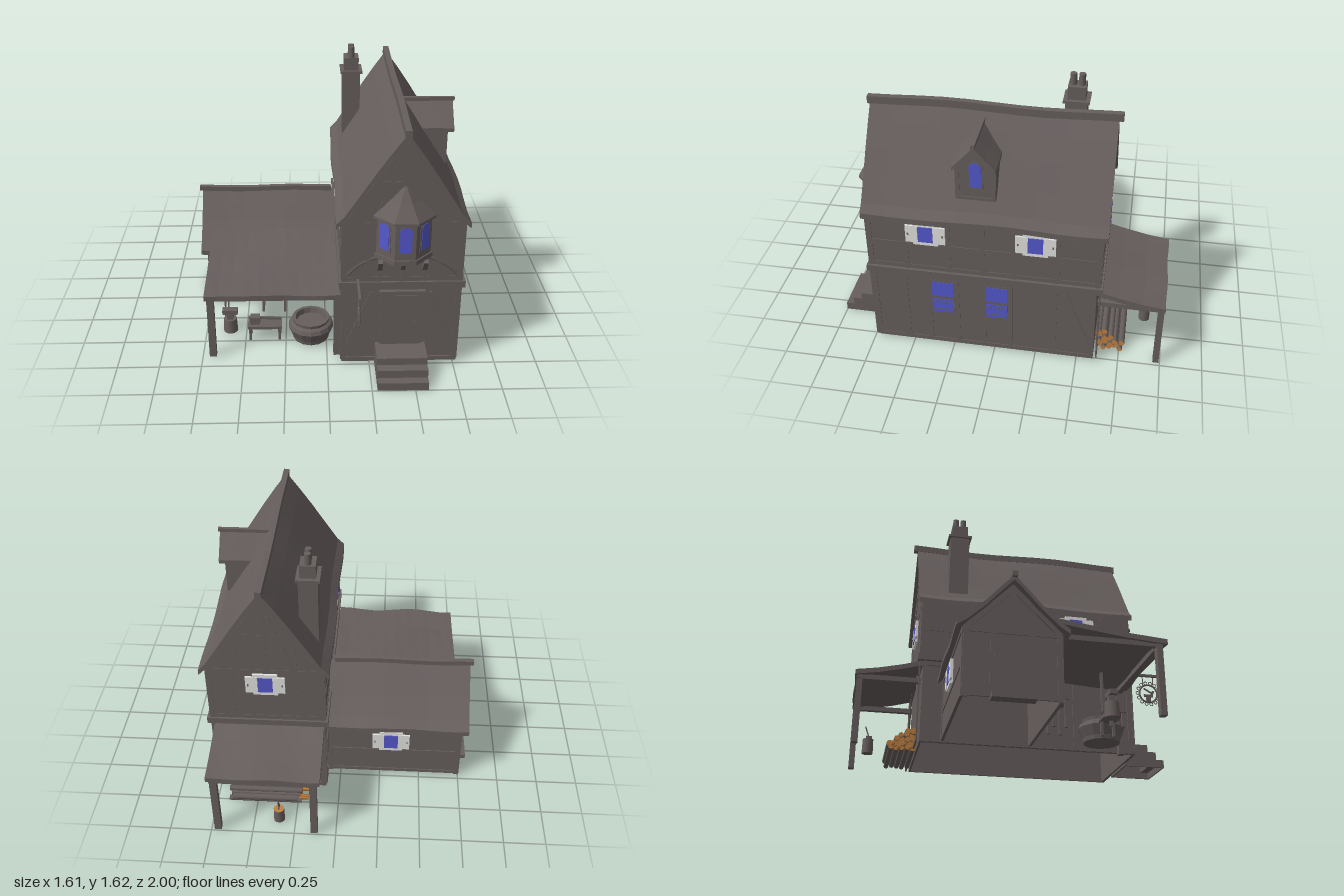
import * as THREE from 'three';

const mat = (name, color) => Object.assign(new THREE.MeshStandardMaterial({ color }), { name });

export function createModel() {
  const root = new THREE.Group();
  const grey = mat('weathered grey', 0x665e5d), glass = mat('blue glass', 0x5558cc);
  const pale = mat('pale paint', 0xe2e2e0), wood = mat('cut wood', 0xc08040);

  // ---- helpers
  const add = (parent, name, geo, m, x = 0, y = 0, z = 0, ry = 0, rz = 0) => {
    const mesh = new THREE.Mesh(geo, m);
    mesh.name = name;
    mesh.position.set(x, y, z);
    mesh.rotation.set(0, ry, rz);
    parent.add(mesh);
    return mesh;
  };
  const box = (p, name, m, w, h, d, x, y, z, rz = 0) => add(p, name, new THREE.BoxGeometry(w, h, d), m, x, y, z, 0, rz);
  const cyl = (p, name, m, r1, r2, h, x, y, z, n = 12) => add(p, name, new THREE.CylinderGeometry(r1, r2, h, n), m, x, y, z);
  const group = (name, x = 0, y = 0, z = 0, ry = 0, parent = root) => {
    const g = new THREE.Group();
    g.name = name;
    g.position.set(x, y, z);
    g.rotation.y = ry;
    parent.add(g);
    return g;
  };
  const flat = (geo) => {
    const g = geo.index ? geo.toNonIndexed() : geo;
    g.computeVertexNormals();
    return g;
  };
  const beam = (p, u1, y1, u2, y2, w = 0.028, d = 0.009, z = 0) =>
    box(p, 'timber', grey, Math.hypot(u2 - u1, y2 - y1), w, d, (u1 + u2) / 2, (y1 + y2) / 2, z, Math.atan2(y2 - y1, u2 - u1));
  // four walls without floor or ceiling
  const hollow = (name, x0, x1, z0, z1, y0, y1, t = 0.012) => {
    const rect = (C, e) => new C([[x0 + e, -z1 + e], [x1 - e, -z1 + e], [x1 - e, -z0 - e], [x0 + e, -z0 - e]].map(a => new THREE.Vector2(...a)));
    const s = rect(THREE.Shape, 0);
    s.holes.push(rect(THREE.Path, t));
    add(root, name, new THREE.ExtrudeGeometry(s, { depth: y1 - y0, bevelEnabled: false }).rotateX(-Math.PI / 2), grey, 0, y0, 0);
  };
  // house body with a pointed gable, extruded along local z
  const gable = (p, name, half, base, eave, apex, z0, z1) => {
    const s = new THREE.Shape([[-half, base], [half, base], [half, eave], [0, apex], [-half, eave]].map(a => new THREE.Vector2(...a)));
    return add(p, name, new THREE.ExtrudeGeometry(s, { depth: z1 - z0, bevelEnabled: false }), grey, 0, 0, z0);
  };
  // roof slope: profile of [distance from ridge, height], local z runs along the ridge
  const slope = (name, prof, len, x, z, ry, th = 0.035, wave = 0.007) => {
    const nv = prof.length - 1;
    const g = new THREE.BoxGeometry(nv, 1, 1, nv, 1, 10), a = g.attributes.position;
    const dir = Math.round(Math.cos(ry)) || Math.round(Math.sin(ry));
    for (let i = 0; i < a.count; i++) {
      const [d, y] = prof[Math.round(a.getX(i) + nv / 2)], t = a.getZ(i);
      const bend = 1 + wave * 2 * Math.sin(t * 11);
      a.setXYZ(i, d * bend, y + wave * Math.sin(t * dir * 9 + d * 4) - (0.5 - a.getY(i)) * th, t * len);
    }
    return add(root, name, flat(g), grey, x, 0, z, ry);
  };
  // bent ridge pole along local z
  const ridge = (name, len, w, h, x, y, z, ry, wave) => {
    const g = new THREE.BoxGeometry(w, h, len, 1, 1, 10), a = g.attributes.position;
    for (let i = 0; i < a.count; i++) a.setY(i, a.getY(i) + wave * Math.sin(a.getZ(i) / len * 9));
    add(root, name, flat(g), grey, x, y, z, ry);
  };
  const shutterWindow = (p, u, y) => {
    const g = group('shutteredWindow', u, y, 0, 0, p);
    box(g, 'windowFrame', pale, 0.145, 0.15, 0.02, 0, 0, 0.006);
    box(g, 'windowGlass', glass, 0.086, 0.104, 0.005, 0, 0, 0.018);
    for (const s of [-1, 1]) {
      box(g, 'shutter', pale, 0.07, 0.114, 0.012, s * 0.08, 0, 0.014);
      box(g, 'shutterHinge', grey, 0.008, 0.014, 0.004, s * 0.1, 0, 0.021);
    }
  };
  const archPane = (p, w, h, x, y, z) => {
    for (const [n, m, e, dz] of [['archFrame', grey, 0.011, 0], ['archGlass', glass, 0, 0.003]]) {
      const a = w / 2 + e, s = new THREE.Shape();
      s.moveTo(-a, -h / 2 - e); s.lineTo(a, -h / 2 - e); s.lineTo(a, h / 2 - 0.02);
      s.quadraticCurveTo(a * 0.8, h / 2 + e, 0, h / 2 + e);
      s.quadraticCurveTo(-a * 0.8, h / 2 + e, -a, h / 2 - 0.02);
      add(p, n, new THREE.ExtrudeGeometry(s, { depth: 0.005, bevelEnabled: false, curveSegments: 4 }), m, x, y, z + dz);
    }
  };

  // ---- main house
  hollow('lowerStorey', 0.085, 0.77, -0.6, 0.735, 0.015, 0.54);
  gable(group('upperStorey', 0.425), 'upperWalls', 0.345, 0.55, 0.94, 1.475, -0.62, 0.74);
  box(root, 'floorBand', grey, 0.725, 0.04, 1.385, 0.427, 0.553, 0.06);
  const mainProfile = [[0, 1.495], [0.08, 1.385], [0.158, 1.27], [0.25, 1.125], [0.33, 1.0], [0.375, 0.955]];
  slope('mainRoofRight', mainProfile, 1.4, 0.425, 0.055, 0);
  slope('mainRoofLeft', mainProfile, 1.4, 0.425, 0.055, Math.PI);
  ridge('mainRidge', 1.44, 0.036, 0.045, 0.425, 1.495, 0.05, 0, 0.008);

  // framed walls: local x runs along the wall, +z points out
  const side = (name, x, ry, studs, upperStuds) => {
    const g = group(name, x, 0, 0.06, ry);
    for (const y of [0.03, 0.515, 0.59, 0.75]) beam(g, -0.66, y, 0.66, y);
    for (const u of studs) beam(g, u, 0.02, u, 0.53);
    for (const u of upperStuds) beam(g, u, 0.57, u, 0.94);
    for (const s of [-1, 1]) beam(g, s * 0.64, 0.06, s * 0.48, 0.5);
    return g;
  };
  const right = side('rightWall', 0.77, Math.PI / 2, [-0.655, -0.47, -0.33, -0.16, 0, 0.16, 0.42, 0.645], [-0.66, -0.45, -0.2, 0, 0.18, 0.43, 0.66]);
  const left = side('leftWall', 0.081, -Math.PI / 2, [-0.645, 0.3, 0.655], [-0.66, -0.35, 0.08, 0.22, 0.5, 0.66]);
  shutterWindow(right, -0.325, 0.84);
  shutterWindow(right, 0.305, 0.84);
  shutterWindow(left, -0.1, 0.84);
  shutterWindow(left, 0.32, 0.84);
  for (const u of [-0.245, 0.077]) {
    box(right, 'tallWindowFrame', grey, 0.155, 0.26, 0.008, u, 0.375, 0.002);
    for (const [y, h] of [[0.437, 0.106], [0.312, 0.1]]) box(right, 'tallWindowGlass', glass, 0.13, h, 0.006, u, y, 0.005);
    for (const y of [0.285, 0.34]) box(right, 'tallWindowBar', grey, 0.13, 0.006, 0.007, u, y, 0.006);
  }
  const gableFrame = (name, z, ry) => {
    const g = group(name, 0.425, 0, z, ry);
    for (const s of [-1, 1]) {
      beam(g, s * 0.33, 0.02, s * 0.33, 0.94);
      beam(g, s * 0.33, 0.93, 0, 1.43);
      beam(g, s * 0.17, 0.94, s * 0.17, 1.17);
      beam(g, s * 0.16, 0.95, s * 0.03, 1.33, 0.024);
      beam(g, s * 0.32, 0.1, s * 0.17, 0.5, 0.024);
      beam(g, s * 0.2, 0.58, s * 0.2, 0.94, 0.024);
    }
    beam(g, 0, 0.94, 0, 1.42);
    for (const [y, w] of [[0.03, 0.34], [0.59, 0.34], [0.94, 0.34], [1.19, 0.16]]) beam(g, -w, y, w, y);
    return g;
  };
  const front = gableFrame('frontGable', 0.738, 0);
  const back = gableFrame('backGable', -0.618, Math.PI);
  shutterWindow(back, 0, 0.85);
  // curved braces beside the bay
  for (const s of [-1, 1]) {
    const c = new THREE.QuadraticBezierCurve3(new THREE.Vector3(s * 0.33, 0.59, 0), new THREE.Vector3(s * 0.27, 0.69, 0), new THREE.Vector3(s * 0.15, 0.73, 0));
    add(front, 'curvedBrace', new THREE.TubeGeometry(c, 8, 0.014, 4), grey).scale.z = 0.5;
  }

  // ---- front door and steps
  box(front, 'doorFrame', grey, 0.25, 0.38, 0.02, 0.005, 0.32, 0.002);
  box(front, 'doorLintel', grey, 0.265, 0.025, 0.03, 0.005, 0.5, 0.005);
  box(front, 'frontDoor', grey, 0.22, 0.34, 0.008, 0, 0.31, 0.011);
  add(front, 'doorRing', new THREE.TorusGeometry(0.01, 0.003, 5, 10), grey, 0.09, 0.305, 0.018);
  const steps = [[1.0, 0.05], [0.95, 0.1], [0.895, 0.145], [0.735, 0.145]];
  for (let i = 0; i < 3; i++) {
    const [z, h] = steps[i], inner = steps[i + 1][0] - 0.01;
    hollow('frontStepSides', 0.281, 0.575, 0.735, z, i * 0.05, h, 0.01);
    box(root, 'frontStepTread', grey, 0.294, 0.01, z - inner, 0.428, h - 0.005, (z + inner) / 2);
  }

  // ---- bay window, lofted from scaled plan outlines
  const bay = group('bayWindow', 0.425, 0, 0.738);
  const plan = [[-0.17, -0.01], [-0.06, 0.1], [0.06, 0.1], [0.17, -0.01]];
  const rings = [[0.01, 0.735], [1.04, 0.735], [1.04, 0.765], [0.97, 0.765], [0.97, 0.985], [1.12, 0.985], [1.12, 1.0], [0.55, 1.09], [0.01, 1.185]];
  const pos = [];
  for (let r = 0; r < rings.length - 1; r++) for (let k = 0; k < 3; k++) {
    const pt = (i, j) => [plan[j][0] * rings[i][0], rings[i][1], plan[j][1] * rings[i][0]];
    const a = pt(r, k), b = pt(r, k + 1), c = pt(r + 1, k + 1), d = pt(r + 1, k);
    pos.push(...a, ...b, ...c, ...a, ...c, ...d);
  }
  const bayGeo = new THREE.BufferGeometry().setAttribute('position', new THREE.Float32BufferAttribute(pos, 3));
  add(bay, 'bayBody', flat(bayGeo), grey);
  archPane(bay, 0.07, 0.16, 0, 0.89, 0.095);
  for (const s of [-1, 1])
    archPane(group('baySide', s * 0.1115, 0.89, 0.0437, s * Math.PI / 4, bay), 0.066, 0.16, 0, 0, -0.002);
  for (const x of [-0.13, 0, 0.125]) {
    box(bay, 'bayBracketPost', grey, 0.02, 0.15, 0.02, x, 0.655, 0.008);
    add(bay, 'bayBracket', new THREE.BoxGeometry(0.026, 0.09, 0.025), grey, x, 0.695, 0.03).rotation.x = 0.6;
  }

  // ---- dormer on the right slope
  const dormer = group('dormer', 0, 0, 0.1, Math.PI / 2);
  gable(dormer, 'dormerWalls', 0.115, 1.07, 1.28, 1.41, 0.45, 0.72);
  archPane(dormer, 0.066, 0.155, 0, 1.233, 0.718);
  for (const s of [-1, 1]) {
    beam(dormer, s * 0.1, 1.07, s * 0.1, 1.29, 0.02, 0.01, 0.72);
    slope('dormerRoof', [[0, 1.435], [0.065, 1.36], [0.122, 1.298]], 0.31, 0.605, 0.1, -s * Math.PI / 2, 0.022, 0.002);
  }
  beam(dormer, -0.11, 1.08, 0.11, 1.08, 0.02, 0.01, 0.72);
  box(root, 'dormerRidge', grey, 0.32, 0.022, 0.022, 0.61, 1.44, 0.1);

  // ---- chimney
  const chimney = group('chimney', 0.18, 0, -0.39);
  box(chimney, 'chimneyStack', grey, 0.112, 0.5, 0.125, 0, 1.21, 0);
  box(chimney, 'chimneyLedge', grey, 0.138, 0.016, 0.152, 0, 1.462, 0);
  box(chimney, 'chimneyTop', grey, 0.092, 0.08, 0.105, 0, 1.51, 0);
  for (const z of [-0.025, 0.025]) cyl(chimney, 'chimneyPot', grey, 0.019, 0.021, 0.07, 0, 1.583, z);

  // ---- side wing
  hollow('wingWalls', -0.75, 0.09, -0.47, 0.07, 0.02, 0.39);
  gable(group('wing', 0, 0, -0.2, -Math.PI / 2), 'wingGable', 0.27, 0.38, 0.41, 0.68, -0.1, 0.75);
  const wingProfile = [[0, 0.715], [0.08, 0.63], [0.15, 0.552], [0.25, 0.46], [0.31, 0.42]];
  for (const s of [-1, 1]) slope('wingRoof', wingProfile, 0.87, -0.355, -0.2, s * Math.PI / 2, 0.03, 0.005);
  ridge('wingRidge', 0.86, 0.03, 0.03, -0.38, 0.715, -0.2, Math.PI / 2, 0.004);
  const wingEnd = group('wingEnd', -0.751, 0, -0.2, -Math.PI / 2);
  for (const s of [-1, 1]) {
    beam(wingEnd, s * 0.255, 0.01, s * 0.255, 0.41);
    beam(wingEnd, s * 0.255, 0.4, 0, 0.65);
    beam(wingEnd, s * 0.11, 0.02, s * 0.11, 0.4);
  }
  for (const y of [0.03, 0.39]) beam(wingEnd, -0.265, y, 0.265, y);
  beam(wingEnd, 0, 0.4, 0, 0.65);
  box(wingEnd, 'wingDoor', grey, 0.2, 0.34, 0.008, 0, 0.2, 0.002);
  box(root, 'wingStep', grey, 0.07, 0.03, 0.24, -0.77, 0.015, -0.2);
  const wingBack = group('wingBack', -0.335, 0, -0.471, Math.PI);
  const wingFront = group('wingFront', -0.335, 0, 0.071);
  for (const g of [wingBack, wingFront]) {
    for (const y of [0.03, 0.2, 0.395]) beam(g, -0.41, y, 0.41, y, 0.022);
    for (const u of [-0.4, 0.4]) beam(g, u, 0.01, u, 0.4);
  }
  shutterWindow(wingBack, -0.02, 0.29);

  // ---- porches: forge at the front, wood store at the back
  slope('forgeRoof', [[0, 0.515], [0.23, 0.488], [0.46, 0.465], [0.69, 0.45]], 0.79, -0.325, 0.0, -Math.PI / 2, 0.03, 0.006);
  slope('woodStoreRoof', [[0, 0.53], [0.13, 0.495], [0.27, 0.465], [0.4, 0.447]], 0.66, 0.42, -0.6, Math.PI / 2, 0.03, 0.004);
  box(root, 'forgeBeam', grey, 0.75, 0.03, 0.035, -0.32, 0.41, 0.64);
  box(root, 'woodStoreBeam', grey, 0.63, 0.03, 0.03, 0.42, 0.412, -0.975);
  for (const [x, z, h] of [[-0.688, 0.64, 0.43], [0.06, 0.64, 0.43], [0.13, -0.975, 0.42], [0.71, -0.975, 0.42]])
    box(root, 'porchPost', grey, 0.042, h, 0.036, x, h / 2, z);
  box(root, 'forgeSideBeam', grey, 0.03, 0.03, 0.57, -0.688, 0.415, 0.36);
  for (const x of [0.13, 0.71]) box(root, 'woodStoreSideBeam', grey, 0.03, 0.03, 0.37, x, 0.412, -0.79);

  // ---- log pile, loose split wood, chopping block and axe
  [5, 5, 4, 3, 2].forEach((n, row) => {
    for (let i = 0; i < n; i++) {
      const r = 0.016 + 0.004 * ((i * 3 + row * 2) % 3) / 2;
      const log = cyl(root, 'log', [grey, wood, wood], r, r, 0.4 + 0.025 * ((i * 2 + row) % 3), 0.45, 0.018 + row * 0.027, -0.622 - i * 0.033 - (row % 2) * 0.008, 8);
      log.rotation.z = Math.PI / 2;
    }
  });
  for (let i = 0; i < 4; i++)
    cyl(root, 'splitWood', wood, 0.013, 0.013, 0.06, 0.215, 0.013 + (i % 2) * 0.02, -0.64 - i * 0.035, 3).rotation.z = Math.PI / 2;
  cyl(root, 'choppingBlock', [grey, wood, grey], 0.032, 0.034, 0.09, 0.35, 0.045, -0.89);
  const axe = group('axe', 0.35, 0.09, -0.885, Math.PI / 2);
  beam(axe, 0, 0.01, 0.025, 0.08, 0.007, 0.007);
  box(axe, 'axeHead', grey, 0.035, 0.02, 0.008, 0, 0.012, 0);

  // ---- forge furnishings
  const basin = [[0, 0.015], [0.11, 0.015], [0.115, 0.04], [0.14, 0.1], [0.13, 0.125], [0.112, 0.135], [0.115, 0.155], [0.095, 0.155], [0.09, 0.12], [0, 0.12]];
  add(root, 'forgeBasin', flat(new THREE.LatheGeometry(basin.map(p => new THREE.Vector2(...p)), 14)), grey, -0.095, 0, 0.47);
  const table = (name, x, z, w, h, d) => {
    const g = group(name, x, 0, z);
    box(g, 'tableTop', grey, w, 0.018, d, 0, h - 0.009, 0);
    for (const sx of [-1, 1]) for (const sz of [-1, 1])
      box(g, 'tableLeg', grey, 0.016, h, 0.016, sx * (w / 2 - 0.015), h / 2 - 0.002, sz * (d / 2 - 0.015));
    return g;
  };
  const bench = table('workbench', -0.38, 0.45, 0.21, 0.1, 0.1);
  box(bench, 'vice', grey, 0.06, 0.05, 0.05, -0.06, 0.125, 0);
  beam(bench, -0.1, 0.14, 0.1, 0.13, 0.014, 0.014);
  const toolTable = table('toolTable', -0.33, 0.14, 0.17, 0.18, 0.1);
  for (const x of [-0.19, -0.14, -0.09, -0.04, 0, 0.04, 0.08]) {
    box(toolTable, 'toolHandle', grey, 0.006, 0.05, 0.006, x, 0.213, -0.055);
    box(toolTable, 'toolHead', grey, 0.022, 0.01, 0.012, x, 0.24, -0.055);
  }
  // anvil on its block, with a stand for tongs behind
  const anvil = group('anvil', -0.6, 0, 0.38);
  cyl(anvil, 'anvilBlock', grey, 0.04, 0.045, 0.09, 0, 0.045, 0);
  box(anvil, 'anvilFoot', grey, 0.04, 0.04, 0.04, 0, 0.11, 0);
  box(anvil, 'anvilFace', grey, 0.095, 0.028, 0.045, 0, 0.14, 0);
  for (const x of [-0.035, -0.015]) beam(anvil, x, 0.02, x + 0.004, 0.25, 0.01, 0.01, -0.06);

  // ---- hanging sign with hammer
  const sign = group('hangingSign', 0.172, 0.46, 0.885, Math.PI / 2);
  add(sign, 'signRing', new THREE.TorusGeometry(0.06, 0.006, 6, 24), grey);
  for (let i = 0; i < 14; i++) {
    const a = i / 14 * Math.PI * 2;
    add(sign, 'signLoop', new THREE.TorusGeometry(0.011, 0.003, 4, 8), grey, 0.073 * Math.cos(a), 0.073 * Math.sin(a));
  }
  box(sign, 'signAnvil', grey, 0.06, 0.016, 0.01, 0, -0.015, 0);
  box(sign, 'signAnvilFoot', grey, 0.03, 0.03, 0.01, 0, -0.036, 0);
  beam(sign, -0.03, 0.0, 0.03, 0.035, 0.008, 0.008);
  box(sign, 'signHammer', grey, 0.015, 0.03, 0.01, -0.028, 0.005, 0, 0.5);
  beam(sign, -0.07, 0.125, 0.16, 0.125, 0.016, 0.014);
  beam(sign, 0.07, 0.12, 0.15, 0.07, 0.012, 0.012);
  for (const s of [-1, 1]) beam(sign, s * 0.035, 0.06, s * 0.035, 0.125, 0.005, 0.005);

  return root;
}
